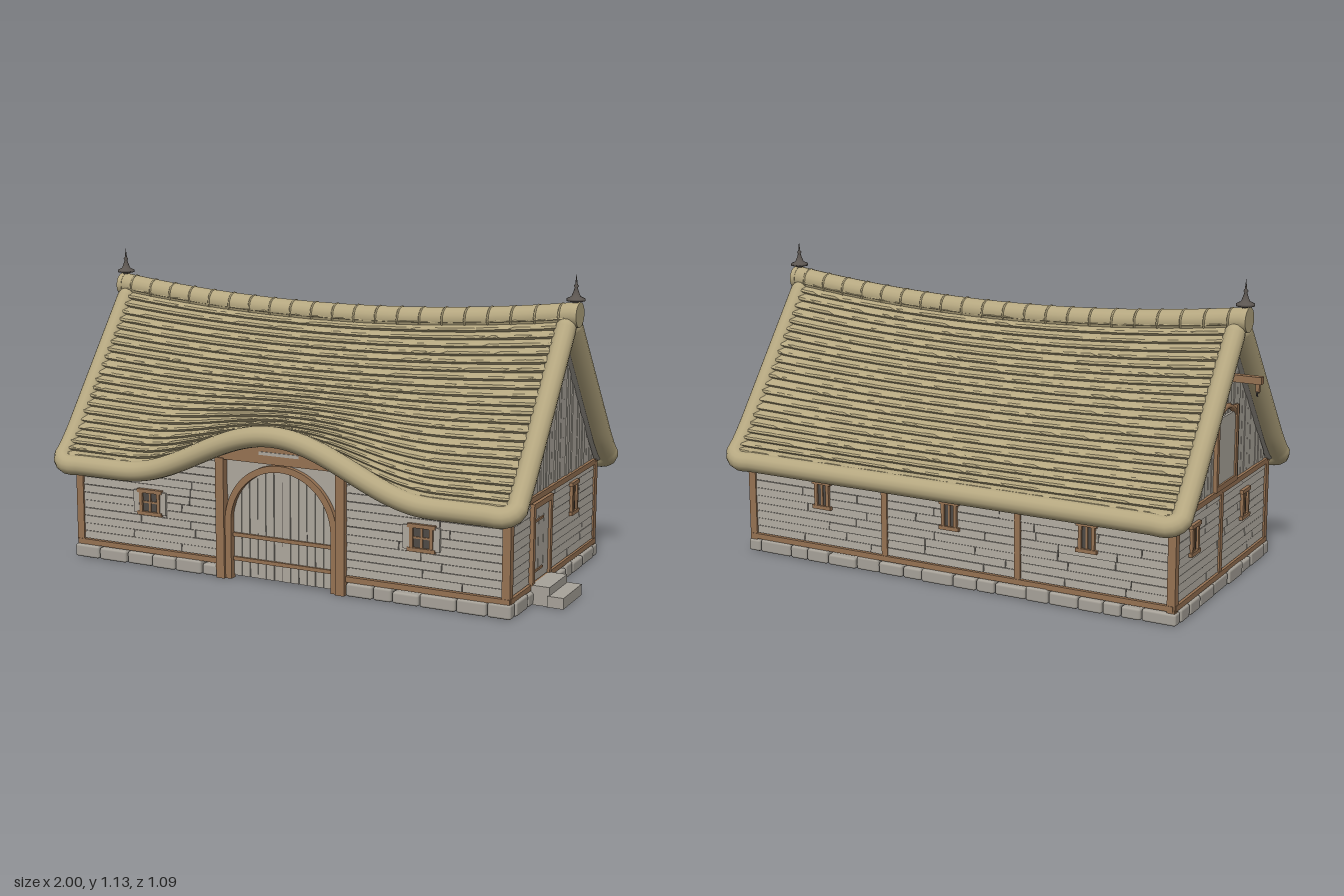
import * as THREE from 'three';
import { toCreasedNormals } from 'three/addons/utils/BufferGeometryUtils.js';
import { RoundedBoxGeometry } from 'three/addons/geometries/RoundedBoxGeometry.js';

const mat = (name, color, side = THREE.FrontSide) => {
  const m = new THREE.MeshStandardMaterial({ color, side });
  m.name = name;
  return m;
};
const M = {
  thatch: mat('thatch', 0xb5a780), plank: mat('weathered plank', 0xaea89e), timber: mat('brown timber', 0x977353),
  stone: mat('foundation stone', 0xa8a39a), iron: mat('dark iron', 0x5c5651), gap: mat('dark gap', 0x4f4a45),
  soffit: mat('roof lining', 0xa09b92, THREE.DoubleSide),
};

let seed = 7;
const rnd = () => (seed = (seed * 16807) % 2147483647) / 2147483647;

function add(parent, name, geo, material, x = 0, y = 0, z = 0) {
  const m = new THREE.Mesh(geo, material);
  m.name = name;
  m.position.set(x, y, z);
  parent.add(m);
  return m;
}
const box = (p, name, m, w, h, d, x, y, z) => add(p, name, new THREE.BoxGeometry(w, h, d), m, x, y, z);
const plate = (p, name, m, pts, depth, z) => add(p, name, new THREE.ExtrudeGeometry(
  new THREE.Shape(pts.map(([x, y]) => new THREE.Vector2(x, y))), { depth, bevelEnabled: false }), m, 0, 0, z);

// Roof surface: t runs from ridge to eave, off is the distance along the slope normal
const bell = x => (Math.abs(x) < 0.62 ? 0.5 + 0.5 * Math.cos(Math.PI * x / 0.62) : 0);
function roofPoint(x, t, off, side) {
  const sag = 0.06 * (1 - (x / 0.92) ** 2) * (1 - t);
  const flare = 0.03 * Math.max(0, (t - 0.75) / 0.25) ** 2;
  const lift = side > 0 ? 0.187 * bell(x) * Math.max(0, (t - 0.3) / 0.7) ** 2 : 0;
  const z = 0.505 * t;
  return new THREE.Vector3(x, 0.985 - 1.276 * z - sag + flare + lift + off * 0.62, side * (z + off * 0.79));
}
const ridgeY = x => 0.985 - 0.06 * (1 - (x / 0.92) ** 2);

// Grid surface over x and a list of [t, offset] profile points
function roofSheet(profile, side, jitter) {
  const nx = 72, pos = [], idx = [], n = profile.length;
  for (let i = 0; i <= nx; i++) {
    for (const [t, off] of profile) {
      const p = roofPoint(-0.9 + 1.8 * i / nx, t, off + (off > 0.025 ? jitter * (rnd() - 0.5) : 0), side);
      pos.push(p.x, p.y, p.z);
    }
  }
  for (let i = 0; i < nx; i++) for (let j = 0; j < n - 1; j++) {
    const a = i * n + j, b = a + 1, c = a + n, d = c + 1;
    if (side > 0) idx.push(a, b, c, b, d, c);
    else idx.push(a, c, b, b, c, d);
  }
  const g = new THREE.BufferGeometry();
  g.setAttribute('position', new THREE.Float32BufferAttribute(pos, 3));
  g.setIndex(idx);
  return toCreasedNormals(g, 0.6);
}

function buildRoof(root) {
  const roof = new THREE.Group();
  roof.name = 'thatchedRoof';
  root.add(roof);
  // Overlapping thatch courses
  const courses = [], N = 24;
  for (let i = 0; i < N; i++) courses.push([i / N, 0.014], [(i + 0.75) / N, 0.03], [(i + 1) / N, 0.028]);
  for (const side of [1, -1]) {
    add(roof, 'thatchCourses', roofSheet(courses, side, 0.005), M.thatch);
    add(roof, 'roofLining', roofSheet([0, 0.2, 0.4, 0.6, 0.75, 0.85, 0.92, 1].map(t => [t, -0.03]), side, 0), M.soffit);
    // One roll runs down a verge, along the eave and up the other verge
    const verge = [0.07, 0.25, 0.45, 0.65, 0.8, 0.9, 0.96].map(t => roofPoint(-0.905, t, 0, side));
    const eave = [];
    for (let i = 0; i <= 28; i++) eave.push(roofPoint(-0.875 + 1.75 * i / 28, 1, 0, side));
    const up = verge.map(p => new THREE.Vector3(-p.x, p.y, p.z)).reverse();
    const curve = new THREE.CatmullRomCurve3([...verge, ...eave, ...up]);
    add(roof, 'edgeRoll', new THREE.TubeGeometry(curve, 180, 0.038, 14), M.thatch);
    for (const p of [verge[0], up[up.length - 1]]) add(roof, 'rollEnd', new THREE.SphereGeometry(0.038, 14, 10), M.thatch, p.x, p.y, p.z);
  }
  // Ridge roll with binding bands and end caps
  const ridge = new THREE.CatmullRomCurve3(Array.from({ length: 13 }, (_, i) => {
    const x = -0.935 + 1.87 * i / 12;
    return new THREE.Vector3(x, ridgeY(x), 0);
  }));
  add(roof, 'ridgeRoll', new THREE.TubeGeometry(ridge, 48, 0.043, 16), M.thatch);
  for (let i = 0; i < 21; i++) {
    const x = -0.88 + 0.088 * i;
    add(roof, 'ridgeBand', new THREE.TorusGeometry(0.042, 0.004, 5, 16), M.thatch, x, ridgeY(x), 0).rotation.y = Math.PI / 2;
  }
  const finial = [[0.012, 0.99], [0.012, 1.03], [0.033, 1.034], [0.033, 1.042], [0.016, 1.05], [0.01, 1.065],
    [0.005, 1.08], [0.009, 1.086], [0.004, 1.093], [0.0001, 1.128]].map(p => new THREE.Vector2(...p));
  for (const s of [-1, 1]) {
    add(roof, 'ridgeCap', new THREE.CylinderGeometry(0.045, 0.045, 0.02, 16), M.thatch, s * 0.935, 0.985, 0).rotation.z = Math.PI / 2;
    add(roof, 'finial', new THREE.LatheGeometry(finial, 14), M.iron, s * 0.928, 0, 0);
  }
}

// Horizontal boards between x0 and x1, broken at random joints
function siding(g, x0, x1, y) {
  for (let x = x0; x < x1 - 0.001;) {
    let end = x + 0.2 + 0.3 * rnd();
    if (end > x1 - 0.1) end = x1;
    const b = box(g, 'sidingBoard', M.plank, end - x - 0.003, 0.028, 0.008, (x + end) / 2, y, 0.003 + 0.003 * rnd());
    b.rotation.x = -0.1;
    x = end;
  }
}
const backing = (g, w, h, x, y) => box(g, 'wallCore', [M.plank, M.plank, M.plank, M.plank, M.gap, M.plank], w, h, 0.02, x, y, -0.01);

function windowAt(g, x, y, w, h, shutters) {
  const win = new THREE.Group();
  win.name = 'window';
  win.position.set(x, y, 0);
  g.add(win);
  box(win, 'pane', M.gap, w, h, 0.006, 0, 0, 0.009);
  for (const s of [-1, 1]) {
    box(win, 'windowJamb', M.timber, 0.013, h, 0.02, s * w / 2, 0, 0.01);
    box(win, 'windowRail', M.timber, w + 0.03, 0.014, 0.024, 0, s * h / 2, 0.01);
    if (shutters) box(win, 'shutter', M.plank, 0.024, h, 0.01, s * (w / 2 + 0.02), 0, 0.013);
  }
  box(win, 'mullion', M.timber, 0.008, h, 0.008, 0, 0, 0.012);
  if (shutters) box(win, 'glazingBar', M.timber, w, 0.007, 0.008, 0, 0, 0.012);
}

// Wall in its own frame: outer face at z = 0, facing +z
function wall(root, name, angle, dist) {
  const g = new THREE.Group();
  g.name = name;
  g.rotation.y = angle;
  g.position.set(Math.sin(angle) * dist, 0, Math.cos(angle) * dist);
  root.add(g);
  return g;
}
function fullWall(g, half) {
  backing(g, half * 2, 0.33, 0, 0.215);
  for (let r = 0; r < 10; r++) siding(g, -half + 0.01, half - 0.01, 0.086 + r * 0.03);
  box(g, 'sillBeam', M.timber, half * 2 + 0.02, 0.02, 0.03, 0, 0.06, 0.002);
  box(g, 'wallPlate', M.timber, half * 2, 0.02, 0.025, 0, 0.37, 0.002);
}

function gable(g) {
  plate(g, 'gableCore', M.gap, [[-0.435, 0.37], [0.435, 0.37], [0, 0.925]], 0.012, -0.016);
  const n = 30, w = 0.87 / n, top = x => Math.max(0.381, 0.93 - 1.276 * Math.abs(x));
  for (let i = 0; i < n; i++) {
    const a = -0.435 + i * w, b = a + w - 0.0025;
    plate(g, 'gablePlank', M.plank, [[a, 0.38], [b, 0.38], [b, top(b)], [a, top(a)]], 0.006, -0.004 + 0.004 * rnd());
  }
}

function buildFront(root) {
  const g = wall(root, 'frontWall', 0, 0.432);
  for (const s of [-1, 1]) {
    backing(g, 0.62, 0.33, s * 0.55, 0.215);
    for (let r = 0; r < 13; r++) {
      const y = 0.086 + r * 0.03, xm = y < 0.37 ? 0.85 : 0.6 - (y - 0.36) * 2.4;
      s > 0 ? siding(g, 0.25, xm, y) : siding(g, -xm, -0.25, y);
    }
    box(g, 'sillBeam', M.timber, 0.63, 0.02, 0.03, s * 0.56, 0.06, 0.002);
    box(g, 'wallPlate', M.timber, 0.3, 0.02, 0.02, s * 0.71, 0.37, 0);
    box(g, 'doorPost', M.timber, 0.034, 0.45, 0.05, s * 0.243, 0.225, 0.005);
    windowAt(g, s * 0.55, 0.245, 0.075, 0.085, true);
  }
  // Arched wagon doors
  const archY = x => 0.215 + Math.sqrt(Math.max(0, 0.203 ** 2 - x * x));
  for (let i = 0; i < 12; i++) {
    const a = -0.2 + i / 30, b = a + 0.031;
    plate(g, 'doorPlank', M.plank, [[a, 0.01], [b, 0.01], [b, archY(b)], [(a + b) / 2, archY((a + b) / 2)], [a, archY(a)]], 0.012, -0.014 + 0.003 * rnd());
  }
  for (const y of [0.075, 0.165]) box(g, 'doorRail', M.timber, 0.4, 0.014, 0.012, 0, y, 0.002);
  box(g, 'doorSeam', M.gap, 0.004, 0.4, 0.003, 0, 0.21, -0.002);
  const arch = new THREE.Shape();
  arch.moveTo(0.226, 0);
  arch.lineTo(0.226, 0.215);
  arch.absarc(0, 0.215, 0.226, 0, Math.PI, false);
  arch.lineTo(-0.226, 0);
  arch.lineTo(-0.202, 0);
  arch.absarc(0, 0.215, 0.202, Math.PI, 0, true);
  arch.lineTo(0.202, 0);
  add(g, 'doorArch', new THREE.ExtrudeGeometry(arch, { depth: 0.03, bevelEnabled: false, curveSegments: 24 }), M.timber, 0, 0, -0.01);
  const fill = new THREE.Shape();
  fill.moveTo(-0.23, 0.215);
  fill.absarc(0, 0.215, 0.22, Math.PI, 0, true);
  fill.lineTo(0.23, 0.215);
  fill.lineTo(0.23, 0.46);
  fill.lineTo(-0.23, 0.46);
  add(g, 'doorSpandrel', new THREE.ExtrudeGeometry(fill, { depth: 0.012, bevelEnabled: false, curveSegments: 24 }), M.plank, 0, 0, -0.01);
  const lintel = [[-0.26, 0.445], [0.26, 0.445]];
  for (let i = 0; i <= 12; i++) lintel.push([0.26 - 0.52 * i / 12, 0.46 + 0.055 * Math.sin(Math.PI * i / 12)]);
  plate(g, 'curvedLintel', M.timber, lintel, 0.045, -0.02);
  box(g, 'lintelPeg', M.plank, 0.16, 0.012, 0.006, 0, 0.483, 0.025);
}

function buildSides(root) {
  const back = wall(root, 'backWall', Math.PI, 0.432);
  fullWall(back, 0.86);
  for (const x of [-0.545, 0, 0.545]) windowAt(back, x, 0.265, 0.05, 0.095, false);
  for (const x of [-0.275, 0.275]) box(back, 'wallPost', M.timber, 0.024, 0.3, 0.026, x, 0.215, 0.002);

  // Right end with a side door; local x runs towards the back
  const right = wall(root, 'rightWall', Math.PI / 2, 0.862);
  fullWall(right, 0.43);
  gable(right);
  windowAt(right, 0.187, 0.285, 0.05, 0.11, false);
  for (let i = 0; i < 3; i++) box(right, 'sideDoorPlank', M.plank, 0.048, 0.265, 0.012, -0.205 + i * 0.05, 0.205, 0.008);
  for (const x of [-0.24, -0.07]) box(right, 'sideDoorJamb', M.timber, 0.02, 0.29, 0.03, x, 0.21, 0.008);
  box(right, 'sideDoorHead', M.timber, 0.19, 0.02, 0.032, -0.155, 0.347, 0.008);
  for (const y of [0.11, 0.29]) box(right, 'doorStrap', M.timber, 0.09, 0.008, 0.006, -0.185, y, 0.016);
  box(right, 'upperStep', M.stone, 0.18, 0.07, 0.08, -0.16, 0.035, 0.045);
  box(right, 'lowerStep', M.stone, 0.19, 0.04, 0.06, -0.16, 0.02, 0.108);

  // Left end with loft hatch and hoist; local x runs towards the front
  const left = wall(root, 'leftWall', -Math.PI / 2, 0.862);
  fullWall(left, 0.43);
  gable(left);
  for (const x of [-0.28, 0.2]) windowAt(left, x, 0.265, 0.05, 0.1, false);
  box(left, 'wallPost', M.timber, 0.024, 0.3, 0.026, -0.03, 0.215, 0.002);
  box(left, 'hatchLeaf', M.plank, 0.16, 0.24, 0.01, 0, 0.52, 0.008);
  for (const s of [-1, 1]) box(left, 'hatchJamb', M.timber, 0.02, 0.28, 0.026, s * 0.09, 0.52, 0.006);
  box(left, 'hatchSill', M.timber, 0.2, 0.02, 0.028, 0, 0.39, 0.006);
  add(left, 'hatchArch', new THREE.TorusGeometry(0.11, 0.011, 6, 14, Math.PI * 0.7), M.timber, 0, 0.56, 0.008).rotation.z = Math.PI * 0.15;
  box(left, 'hoistBeam', M.timber, 0.025, 0.026, 0.16, 0, 0.777, 0.058);
  box(left, 'hoistBlock', M.timber, 0.014, 0.03, 0.014, 0, 0.75, 0.122);
  add(left, 'hoistHook', new THREE.TorusGeometry(0.009, 0.003, 6, 12, 4.5), M.iron, 0, 0.729, 0.122);

  for (const x of [-0.862, 0.862]) for (const z of [-0.432, 0.432])
    box(root, 'cornerPost', M.timber, 0.03, 0.33, 0.03, x, 0.205, z);
}

// Row of irregular stones along one side of the plinth
function stones(root, x0, x1, fixed, alongX) {
  for (let a = x0; a < x1 - 0.005;) {
    let e = a + 0.06 + 0.08 * rnd();
    if (e > x1 - 0.04) e = x1;
    const l = e - a - 0.003, h = 0.042 + 0.012 * rnd(), d = 0.042 + 0.012 * rnd(), c = (a + e) / 2;
    const geo = new RoundedBoxGeometry(alongX ? l : d, h, alongX ? d : l, 1, 0.009);
    add(root, 'plinthStone', geo, M.stone, alongX ? c : fixed, h / 2, alongX ? fixed : c);
    a = e;
  }
}

export function createModel() {
  const root = new THREE.Group();
  root.name = 'thatchedBarn';
  buildRoof(root);
  buildFront(root);
  buildSides(root);
  const plinth = new THREE.Group();
  plinth.name = 'stonePlinth';
  root.add(plinth);
  stones(plinth, -0.885, 0.885, -0.432, true);
  stones(plinth, -0.885, -0.262, 0.432, true);
  stones(plinth, 0.262, 0.885, 0.432, true);
  for (const s of [-1, 1]) stones(plinth, -0.41, 0.41, s * 0.862, false);
  // Storage bins inside
  for (const [x, z] of [[-0.42, 0.19], [-0.6, 0.01], [0.72, 0.1]]) box(root, 'storageBin', M.plank, 0.13, 0.2, 0.13, x, 0.12, z);
  return root;
}
